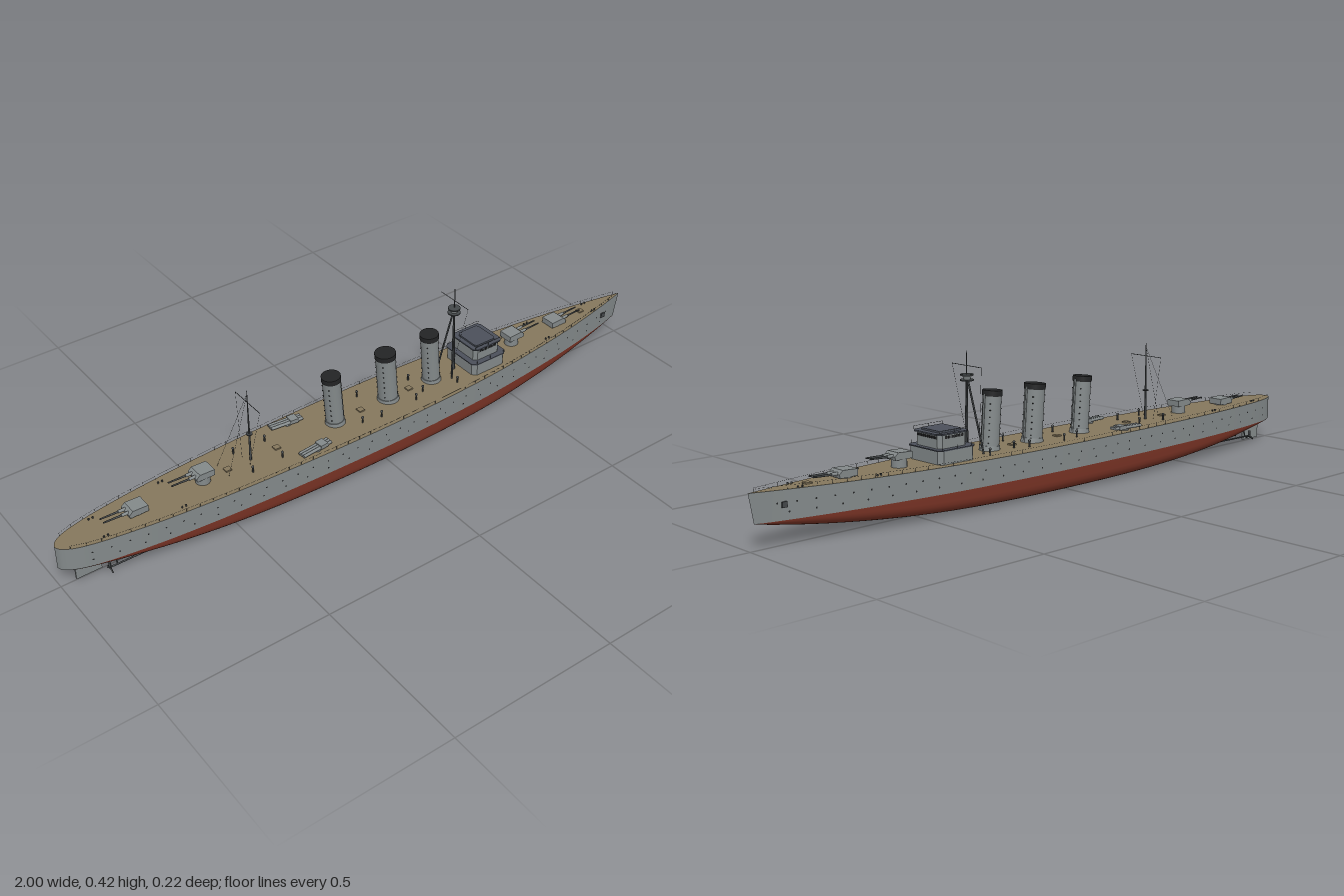
import * as THREE from 'three';
import { mergeGeometries, toCreasedNormals } from 'three/addons/utils/BufferGeometryUtils.js';

const mat = (name, color, side = THREE.FrontSide) => {
  const m = new THREE.MeshStandardMaterial({ color, side });
  m.name = name;
  return m;
};
const V = (x, y, z) => new THREE.Vector3(x, y, z);

export function createModel() {
  const ship = new THREE.Group();
  ship.name = 'warship';
  const grey = mat('hull grey', 0x83898a), red = mat('bottom red', 0x793325), tan = mat('deck tan', 0x85775c);
  const slate = mat('roof slate', 0x4b505a), black = mat('black', 0x232425, THREE.DoubleSide), steel = mat('dark steel', 0x44484a);

  const add = (name, geo, material, parent = ship) => {
    const m = new THREE.Mesh(geo, material);
    m.name = name;
    parent.add(m);
    return m;
  };
  const box = (x0, x1, y0, y1, z0, z1) =>
    new THREE.BoxGeometry(x1 - x0, y1 - y0, z1 - z0).translate((x0 + x1) / 2, (y0 + y1) / 2, (z0 + z1) / 2);
  const rod = (a, b, r0, r1 = r0, sides = 6) => {
    const d = b.clone().sub(a);
    const q = new THREE.Quaternion().setFromUnitVectors(V(0, 1, 0), d.clone().normalize());
    return new THREE.CylinderGeometry(r1, r0, d.length(), sides).applyQuaternion(q)
      .translate(...a.clone().add(b).multiplyScalar(0.5).toArray());
  };
  const drum = (x, y0, y1, z, r, sides = 20) => rod(V(x, y0, z), V(x, y1, z), r, r, sides);

  // Hull plan: half width along the length
  const stations = new THREE.SplineCurve([
    [-1, 0], [-0.992, 0.016], [-0.97, 0.031], [-0.93, 0.045], [-0.85, 0.061], [-0.7, 0.08], [-0.5, 0.095], [-0.25, 0.105],
    [0, 0.108], [0.2, 0.104], [0.4, 0.093], [0.6, 0.072], [0.75, 0.051], [0.88, 0.027], [0.96, 0.01], [1, 0],
  ].map(p => new THREE.Vector2(...p))).getPoints(90);
  const halfWidth = x => {
    const i = Math.max(1, stations.findIndex(s => s.x >= x));
    const a = stations[i - 1], b = stations[i];
    return a.y + (b.y - a.y) * (x - a.x) / (b.x - a.x);
  };
  const WL = 0.067;
  const deckY = x => 0.138 + 0.008 * Math.max(0, x) ** 3;
  const rake = x => x - 0.014 * Math.max(0, x) ** 10;

  // Skin a strip of cross-sections running from stern to bow
  const skin = section => {
    const rings = stations.map(s => section(s.x, Math.max(0, s.y)));
    const n = rings[0].length, pos = rings.flat(2), idx = [];
    for (let i = 0; i < rings.length - 1; i++)
      for (let j = 0; j < n - 1; j++) {
        const a = i * n + j, c = a + n;
        idx.push(a, a + 1, c, a + 1, c + 1, c);
      }
    const g = new THREE.BufferGeometry();
    g.setAttribute('position', new THREE.Float32BufferAttribute(pos, 3));
    g.setIndex(idx);
    g.computeVertexNormals();
    return g;
  };
  add('hullSideLeft', skin((x, w) => [[x, deckY(x), w], [rake(x), WL, w]]), grey);
  add('hullSideRight', skin((x, w) => [[rake(x), WL, -w], [x, deckY(x), -w]]), grey);
  add('deck', skin((x, w) => [[x, deckY(x), -w], [x, deckY(x), w]]), tan);
  add('hullBottom', skin((x, w) => {
    const keel = WL * Math.abs(x) ** 2.8, p = 0.5 + 0.8 * x ** 4;
    return Array.from({ length: 21 }, (_, j) => {
      const a = Math.PI * j / 20, c = Math.cos(a);
      return [rake(x), WL - (WL - keel) * Math.abs(Math.sin(a)) ** p, w * Math.sign(c) * Math.abs(c) ** p];
    });
  }), red);

  // Portholes, rails and anchors, mirrored on both sides
  const holes = [], rails = [], anchors = [];
  for (const s of [1, -1]) {
    for (const [y, step] of [[0.112, 0.05], [0.088, 0.07]])
      for (let x = -0.92; x < 0.95; x += step) {
        const slope = (halfWidth(x + 0.01) - halfWidth(x - 0.01)) / 0.02;
        holes.push(new THREE.CircleGeometry(0.0026, 8).rotateY(Math.atan2(-slope, 1))
          .scale(1, 1, 1).translate(x, y, halfWidth(x) + 0.0012).applyMatrix4(new THREE.Matrix4().makeScale(1, 1, s)));
      }
    const line = [];
    for (let x = -0.97; x < 0.985; x += 0.039) {
      const z = s * halfWidth(x) * 0.985, y = deckY(x);
      rails.push(rod(V(x, y, z), V(x, y + 0.01, z), 0.0005, 0.0005, 4));
      line.push(V(x, y + 0.01, z));
    }
    rails.push(new THREE.TubeGeometry(new THREE.CatmullRomCurve3(line), 80, 0.0003, 3));
    anchors.push(box(0.905, 0.92, 0.1, 0.115, s * 0.023 - 0.002, s * 0.023 + 0.002));
  }
  add('portholes', mergeGeometries(holes), black);
  add('railings', mergeGeometries(rails), steel);
  add('anchors', mergeGeometries(anchors), steel);

  // Rudder, propeller shafts and screws
  add('rudder', box(-0.955, -0.88, 0.004, 0.062, -0.003, 0.003), grey);
  for (const s of [1, -1]) {
    add('propellerShaft', rod(V(-0.87, 0.024, s * 0.035), V(-0.6, 0.03, s * 0.045), 0.0025), steel);
    add('shaftStrut', rod(V(-0.85, 0.025, s * 0.035), V(-0.85, 0.056, s * 0.025), 0.002), steel);
    const blades = [0, 1, 2].map(i => new THREE.BoxGeometry(0.003, 0.015, 0.007).rotateY(0.5)
      .translate(0, 0.009, 0).rotateX(i * Math.PI * 2 / 3).translate(-0.872, 0.024, s * 0.035));
    add('propeller', mergeGeometries(blades), steel);
  }

  // Raked funnels with black caps, steps and a steam pipe
  for (const [x, r] of [[-0.126, 0.026], [0.063, 0.029], [0.223, 0.026]]) {
    const funnel = new THREE.Group();
    funnel.name = 'funnel';
    ship.add(funnel);
    const at = (y, z = 0, dx = 0) => V(x + 0.006 - (y - 0.138) * 0.075 + dx, y, z);
    add('funnelBase', rod(at(0.136), at(0.15), r + 0.004, r + 0.002, 28), grey, funnel);
    add('funnelCasing', rod(at(0.138), at(0.29), r, r, 28), grey, funnel);
    add('funnelCap', rod(at(0.287), at(0.303), r + 0.002, r + 0.002, 28), black, funnel);
    add('steamPipe', rod(at(0.14, 0, r + 0.003), at(0.296, 0, r + 0.003), 0.003), grey, funnel);
    const steps = [];
    for (let i = 0; i < 7; i++)
      for (const a of [0.6, 2.5, 3.8, 5.6]) {
        const p = at(0.16 + i * 0.018, Math.sin(a) * r, Math.cos(a) * r);
        steps.push(new THREE.BoxGeometry(0.003, 0.002, 0.003).translate(p.x, p.y, p.z));
      }
    add('funnelSteps', mergeGeometries(steps), black, funnel);
  }

  // Bridge: chamfered tiers with dark roofs
  const tier = (x0, x1, y0, y1, w, c) => {
    const s = new THREE.Shape([[x0 + c, w], [x1 - c, w], [x1, w - c], [x1, c - w], [x1 - c, -w], [x0 + c, -w], [x0, c - w], [x0, w - c]]
      .map(p => new THREE.Vector2(...p)));
    return new THREE.ExtrudeGeometry(s, { depth: y1 - y0, bevelEnabled: false }).rotateX(-Math.PI / 2).translate(0, y0, 0);
  };
  const bridge = new THREE.Group();
  bridge.name = 'bridge';
  ship.add(bridge);
  add('lowerBridge', tier(0.337, 0.46, 0.136, 0.175, 0.068, 0.012), grey, bridge);
  add('lowerBridgeRoof', tier(0.334, 0.463, 0.175, 0.178, 0.07, 0.012), slate, bridge);
  add('upperBridge', tier(0.352, 0.449, 0.178, 0.214, 0.052, 0.01), grey, bridge);
  add('upperBridgeRoof', tier(0.348, 0.455, 0.214, 0.218, 0.056, 0.01), slate, bridge);
  add('compassPlatform', tier(0.362, 0.438, 0.218, 0.223, 0.042, 0.006), slate, bridge);
  const panes = [];
  for (let i = -4; i <= 4; i++) panes.push(box(0.4485, 0.4505, 0.204, 0.211, i * 0.009 - 0.0035, i * 0.009 + 0.0035));
  for (const s of [1, -1])
    for (let i = 0; i < 6; i++)
      panes.push(box(0.368 + i * 0.011, 0.376 + i * 0.011, 0.204, 0.211, s * 0.0523 - 0.001, s * 0.0523 + 0.001));
  add('bridgeWindows', mergeGeometries(panes), black, bridge);
  const posts = [];
  for (const s of [1, -1]) {
    for (const x of [0.352, 0.4, 0.451]) posts.push(rod(V(x, 0.218, s * 0.053), V(x, 0.227, s * 0.053), 0.0007));
    for (const x of [0.35, 0.4, 0.45]) posts.push(rod(V(x, 0.178, s * 0.066), V(x, 0.187, s * 0.066), 0.0007));
    posts.push(rod(V(0.352, 0.227, s * 0.053), V(0.451, 0.227, s * 0.053), 0.0005));
  }
  add('bridgeRails', mergeGeometries(posts), steel, bridge);

  // Twin gun turrets: position, floor height, facing
  for (const [x, lift, dir] of [[0.72, 0, 1], [0.545, 0.02, 1], [-0.56, 0.02, -1], [-0.765, 0, -1]]) {
    const turret = new THREE.Group();
    turret.name = 'gunTurret';
    turret.position.set(x, deckY(x), 0);
    turret.rotation.y = dir > 0 ? 0 : Math.PI;
    ship.add(turret);
    add('barbette', drum(-0.002, -0.004, lift + 0.004, 0, 0.021), grey, turret);
    const profile = new THREE.Shape([[-0.028, 0], [0.027, 0], [0.029, 0.01], [0.018, 0.02], [-0.028, 0.018]]
      .map(p => new THREE.Vector2(...p)));
    add('gunHouse', new THREE.ExtrudeGeometry(profile, { depth: 0.046, bevelEnabled: false })
      .translate(0, lift + 0.003, -0.023), grey, turret);
    for (const z of [-0.009, 0.009]) {
      add('gunBarrel', rod(V(0.02, lift + 0.013, z), V(0.098, lift + 0.016, z), 0.0034, 0.0022, 10), steel, turret);
      add('gunSleeve', rod(V(0.02, lift + 0.013, z), V(0.045, lift + 0.014, z), 0.005, 0.0045, 10), grey, turret);
    }
  }

  // Torpedo tube mounts on each beam
  for (const s of [1, -1]) {
    const mount = new THREE.Group();
    mount.name = 'torpedoMount';
    mount.position.set(-0.235, deckY(0), s * 0.073);
    mount.rotation.y = s * 0.1;
    ship.add(mount);
    add('mountBase', drum(0, -0.002, 0.004, 0, 0.012), grey, mount);
    for (const z of [-0.009, 0, 0.009])
      add('torpedoTube', rod(V(-0.055, 0.009, z), V(0.045, 0.009, z), 0.0046, 0.0046, 10), grey, mount);
    add('mountShield', box(0.005, 0.03, 0.004, 0.016, -0.014, 0.014), grey, mount);
  }

  // Tripod foremast with spotting top
  const foremast = new THREE.Group();
  foremast.name = 'foremast';
  ship.add(foremast);
  add('foremastPole', rod(V(0.315, 0.138, 0), V(0.308, 0.42, 0), 0.004, 0.001, 8), steel, foremast);
  for (const s of [1, -1]) add('tripodLeg', rod(V(0.28, 0.138, s * 0.034), V(0.307, 0.342, s * 0.002), 0.0028), steel, foremast);
  add('spottingTop', rod(V(0.308, 0.338, 0), V(0.308, 0.354, 0), 0.008, 0.013, 16), grey, foremast);
  add('topFloor', drum(0.308, 0.339, 0.342, 0, 0.019), steel, foremast);
  add('topRoof', drum(0.308, 0.353, 0.357, 0, 0.018), steel, foremast);
  add('foreYard', rod(V(0.309, 0.38, -0.06), V(0.309, 0.38, 0.06), 0.0009), steel, foremast);

  // Mainmast
  const mainmast = new THREE.Group();
  mainmast.name = 'mainmast';
  ship.add(mainmast);
  add('mainmastPole', rod(V(-0.405, 0.136, 0), V(-0.405, 0.37, 0), 0.0038, 0.001, 8), steel, mainmast);
  add('mainYard', rod(V(-0.405, 0.332, -0.06), V(-0.405, 0.332, 0.06), 0.0009), steel, mainmast);
  add('searchlightPlatform', drum(-0.405, 0.225, 0.228, 0, 0.009), steel, mainmast);

  // Rigging
  const wires = [];
  for (const s of [1, -1]) {
    wires.push(rod(V(0.309, 0.38, s * 0.06), V(0.285, 0.14, s * 0.02), 0.0004, 0.0004, 3));
    wires.push(rod(V(-0.405, 0.332, s * 0.06), V(-0.42, 0.14, s * 0.02), 0.0004, 0.0004, 3));
    wires.push(rod(V(-0.405, 0.36, 0), V(-0.495, 0.138, s * 0.03), 0.0004, 0.0004, 3));
  }
  add('rigging', mergeGeometries(wires), steel);

  // Ventilators, bollards and small deck fittings
  const vents = [];
  for (const s of [1, -1]) {
    for (const [x, z] of [[-0.43, 0.05], [-0.33, 0.045], [-0.06, 0.05], [0.0, 0.06], [0.13, 0.055], [0.17, 0.035], [0.28, 0.06]]) {
      vents.push(drum(x, 0.136, 0.155, s * z, 0.0025, 8));
      vents.push(new THREE.SphereGeometry(0.004, 8, 6).translate(x, 0.156, s * z));
    }
    for (const x of [-0.88, -0.66, 0.64, 0.86])
      for (const d of [0, 0.012]) vents.push(drum(x + d, 0.136, deckY(x) + 0.005, s * halfWidth(x) * 0.75, 0.0025, 8));
  }
  add('deckFittings', mergeGeometries(vents), steel);
  const hatches = [[-0.48, 0], [-0.32, 0], [-0.03, 0], [0.145, 0], [0.83, 0]].map(([x]) => box(x - 0.009, x + 0.009, 0.136, deckY(x) + 0.004, -0.009, 0.009));
  add('hatches', toCreasedNormals(mergeGeometries(hatches), 0.5), tan);

  return ship;
}
